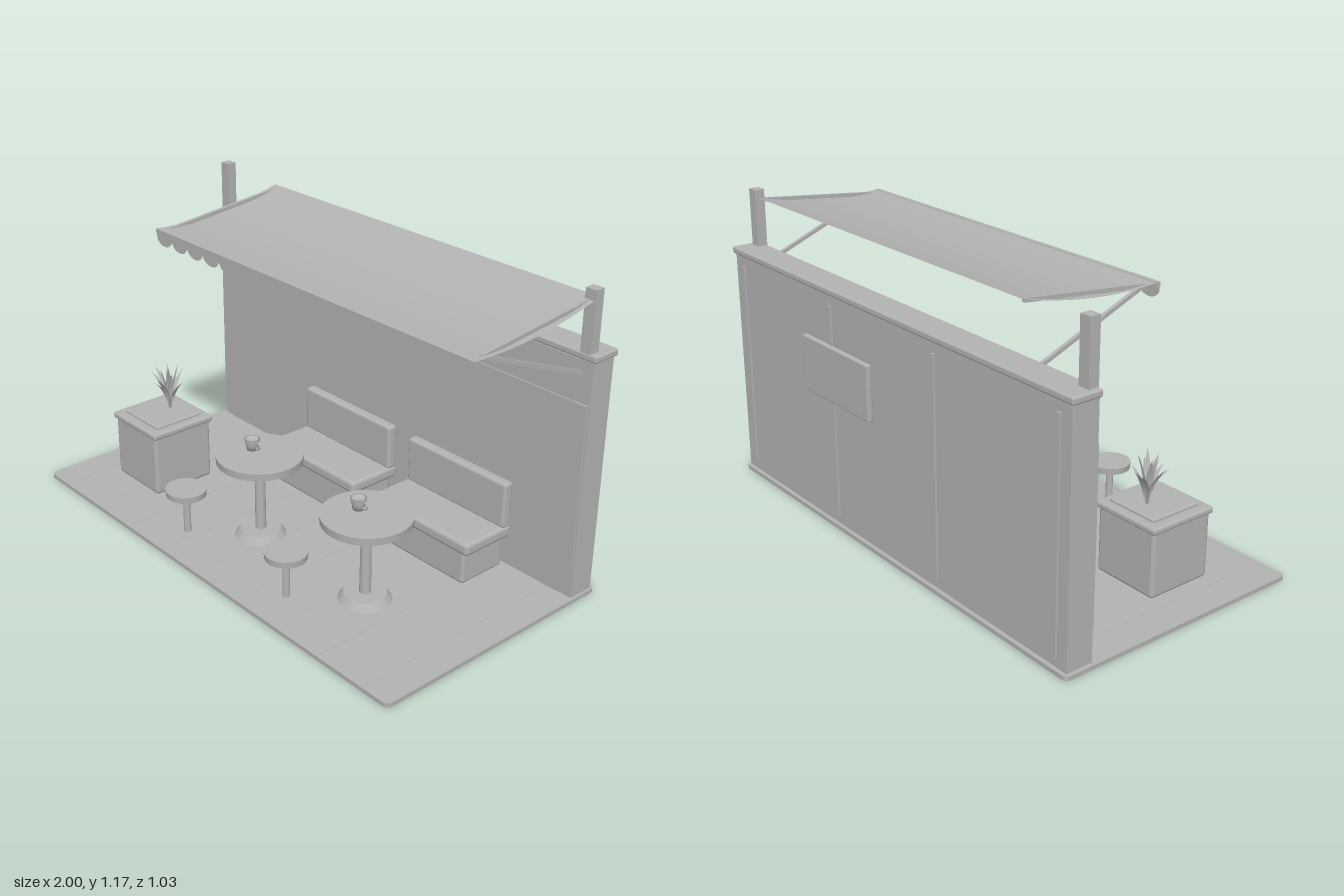
import * as THREE from 'three';
import { RoundedBoxGeometry } from 'three/addons/geometries/RoundedBoxGeometry.js';

const grey = new THREE.MeshStandardMaterial({ color: 0xb3b3b3, side: THREE.DoubleSide });
grey.name = 'plain grey';

function add(parent, name, geometry, x = 0, y = 0, z = 0) {
  const mesh = new THREE.Mesh(geometry, grey);
  mesh.name = name;
  mesh.position.set(x, y, z);
  parent.add(mesh);
  return mesh;
}

// Box given by its extents; r rounds the edges
function box(parent, name, x0, x1, y0, y1, z0, z1, r = 0) {
  const size = [x1 - x0, y1 - y0, z1 - z0];
  const g = r ? new RoundedBoxGeometry(...size, 2, r) : new THREE.BoxGeometry(...size);
  return add(parent, name, g, (x0 + x1) / 2, (y0 + y1) / 2, (z0 + z1) / 2);
}

// Upright cylinder from y0 to y1
function disc(parent, name, rTop, rBottom, y0, y1, x, z) {
  return add(parent, name, new THREE.CylinderGeometry(rTop, rBottom, y1 - y0, 32), x, (y0 + y1) / 2, z);
}

// Square bar between two points
function bar(parent, name, a, b, t) {
  const mesh = add(parent, name, new THREE.BoxGeometry(t, t, a.distanceTo(b)));
  mesh.position.addVectors(a, b).multiplyScalar(0.5);
  mesh.lookAt(b);
  return mesh;
}

function group(parent, name, x = 0, y = 0, z = 0) {
  const g = new THREE.Group();
  g.name = name;
  g.position.set(x, y, z);
  parent.add(g);
  return g;
}

function buildFloor(root) {
  const s = new THREE.Shape();
  const w = 1, d = 0.513, r = 0.025;
  s.moveTo(-w + r, -d);
  s.lineTo(w - r, -d).quadraticCurveTo(w, -d, w, -d + r);
  s.lineTo(w, d - r).quadraticCurveTo(w, d, w - r, d);
  s.lineTo(-w + r, d).quadraticCurveTo(-w, d, -w, d - r);
  s.lineTo(-w, -d + r).quadraticCurveTo(-w, -d, -w + r, -d);
  const g = new THREE.ExtrudeGeometry(s, { depth: 0.016, bevelEnabled: false }).rotateX(-Math.PI / 2);
  add(root, 'floor', g);
  for (let i = -4; i <= 4; i++)
    box(root, 'plankSeam', i * 0.22 - 0.002, i * 0.22 + 0.002, 0.015, 0.0168, -0.38, 0.5);
}

function buildWall(root) {
  const wall = group(root, 'wall');
  box(wall, 'wallBody', -0.985, 0.99, 0.016, 0.925, -0.497, -0.392);
  box(wall, 'wallCap', -1, 1, 0.92, 0.947, -0.508, -0.39, 0.008);
  box(wall, 'frontPanel', -0.98, 0.985, 0.135, 0.765, -0.395, -0.384);
  box(wall, 'upperBand', -0.935, 0.93, 0.765, 0.92, -0.395, -0.389);
  box(wall, 'skirting', -0.935, 0.93, 0.016, 0.135, -0.395, -0.389);
  for (const x of [-0.93, -0.31, 0.31, 0.93])
    box(wall, 'backBatten', x - 0.007, x + 0.007, 0.05, 0.88, -0.505, -0.49);
  box(wall, 'backBoard', 0.058, 0.484, 0.515, 0.73, -0.517, -0.495, 0.006);
  for (const x of [-0.958, 0.952])
    box(wall, 'roofPost', x - 0.022, x + 0.022, 0.9, 1.17, -0.432, -0.392);
}

function buildAwning(root) {
  const awning = group(root, 'awning');
  const x0 = -0.667, x1 = 0.967, zBack = -0.422, zFront = 0.155;

  // Sagging cloth
  const cloth = new THREE.PlaneGeometry(x1 - x0, 1, 1, 16).rotateX(-Math.PI / 2);
  const p = cloth.attributes.position;
  for (let i = 0; i < p.count; i++) {
    const t = p.getZ(i) + 0.5;
    p.setY(i, 1.14 - 0.06 * t - 0.1 * t * (1 - t));
    p.setZ(i, zBack + (zFront - zBack) * t);
  }
  cloth.computeVertexNormals();
  add(awning, 'awningCloth', cloth, (x0 + x1) / 2);

  // Scalloped front edge
  const n = 17, step = (x1 - x0) / n;
  const s = new THREE.Shape();
  s.moveTo(x0, 1.08);
  s.lineTo(x0, 1.048);
  for (let i = 0; i < n; i++) {
    const a = x0 + i * step;
    s.bezierCurveTo(a + step * 0.15, 1.01, a + step * 0.85, 1.01, a + step, 1.048);
  }
  s.lineTo(x1, 1.08);
  add(awning, 'awningScallops', new THREE.ShapeGeometry(s, 8), 0, 0, 0.16);
  box(awning, 'frontBar', x0, x1, 1.064, 1.081, 0.145, 0.163);

  // Folding arms
  for (const x of [-0.645, 0.943]) {
    const tip = new THREE.Vector3(x, 1.073, 0.105);
    bar(awning, 'upperArm', new THREE.Vector3(x, 1.127, -0.4), tip, 0.014);
    bar(awning, 'lowerArm', new THREE.Vector3(x, 0.87, -0.4), tip, 0.014);
  }
}

// Pointed leaf blade that arcs outward
function leaf(length, lean, width) {
  const g = new THREE.PlaneGeometry(1, 1, 2, 6);
  const p = g.attributes.position;
  for (let i = 0; i < p.count; i++) {
    const t = p.getY(i) + 0.5, side = p.getX(i) * 2;
    const w = width * Math.sin(Math.PI * Math.min(1, 0.12 + 0.88 * t));
    p.setXYZ(i, side * w, length * (t - 0.2 * lean * t * t * t), length * lean * t * t + Math.abs(side) * w * 0.4);
  }
  g.computeVertexNormals();
  return g;
}

function buildPlanter(root) {
  const planter = group(root, 'planter');
  box(planter, 'planterBody', -0.832, -0.558, 0.016, 0.275, 0.02, 0.29, 0.015);
  box(planter, 'planterRim', -0.84, -0.548, 0.263, 0.29, 0.012, 0.298, 0.01);
  box(planter, 'planterTop', -0.802, -0.583, 0.28, 0.302, 0.045, 0.262, 0.008);
  const plant = group(planter, 'plant', -0.697, 0.298, 0.115);
  for (let i = 0; i < 14; i++) {
    const inner = i % 2;
    const blade = add(plant, 'leaf', leaf(inner ? 0.205 - (i % 3) * 0.015 : 0.15 + (i % 3) * 0.015, inner ? 0.2 : 0.48, 0.013));
    blade.rotation.y = i * 2.4;
  }
}

function buildBench(root, x) {
  const bench = group(root, 'bench', x);
  box(bench, 'benchBase', -0.218, 0.218, 0.06, 0.2, -0.315, -0.11, 0.012);
  box(bench, 'benchSeat', -0.244, 0.244, 0.187, 0.237, -0.327, -0.097, 0.016);
  box(bench, 'benchBack', -0.238, 0.243, 0.23, 0.41, -0.322, -0.28, 0.012);
}

function buildTable(root, x) {
  const table = group(root, 'table', x, 0, 0.157);
  disc(table, 'tableTop', 0.165, 0.163, 0.329, 0.358, 0, 0);
  disc(table, 'tableColumn', 0.019, 0.021, 0.04, 0.332, 0, 0);
  disc(table, 'tableFoot', 0.078, 0.098, 0.016, 0.045, 0, 0);

  // Cup on a saucer
  const cup = group(table, 'cup', -0.036, 0.358, 0.006);
  disc(cup, 'saucer', 0.045, 0.03, 0, 0.006, 0, 0);
  const profile = [[0, 0.006], [0.02, 0.006], [0.024, 0.025], [0.029, 0.05], [0.025, 0.05], [0.022, 0.04], [0, 0.04]];
  add(cup, 'cupBody', new THREE.LatheGeometry(profile.map(([r, y]) => new THREE.Vector2(r, y)), 24));
  add(cup, 'cupHandle', new THREE.TorusGeometry(0.013, 0.0035, 8, 20), 0.03, 0.03, 0);
}

function buildStool(root, x) {
  const stool = group(root, 'stool', x, 0, 0.378);
  disc(stool, 'stoolSeat', 0.078, 0.076, 0.195, 0.22, 0, 0);
  disc(stool, 'stoolLeg', 0.013, 0.014, 0.037, 0.2, 0, 0);
}

export function createModel() {
  const root = new THREE.Group();
  root.name = 'cafeTerrace';
  buildFloor(root);
  buildWall(root);
  buildAwning(root);
  buildPlanter(root);
  for (const x of [-0.067, 0.515]) {
    buildBench(root, x - 0.006);
    buildTable(root, x);
    buildStool(root, x - 0.168);
  }
  return root;
}
